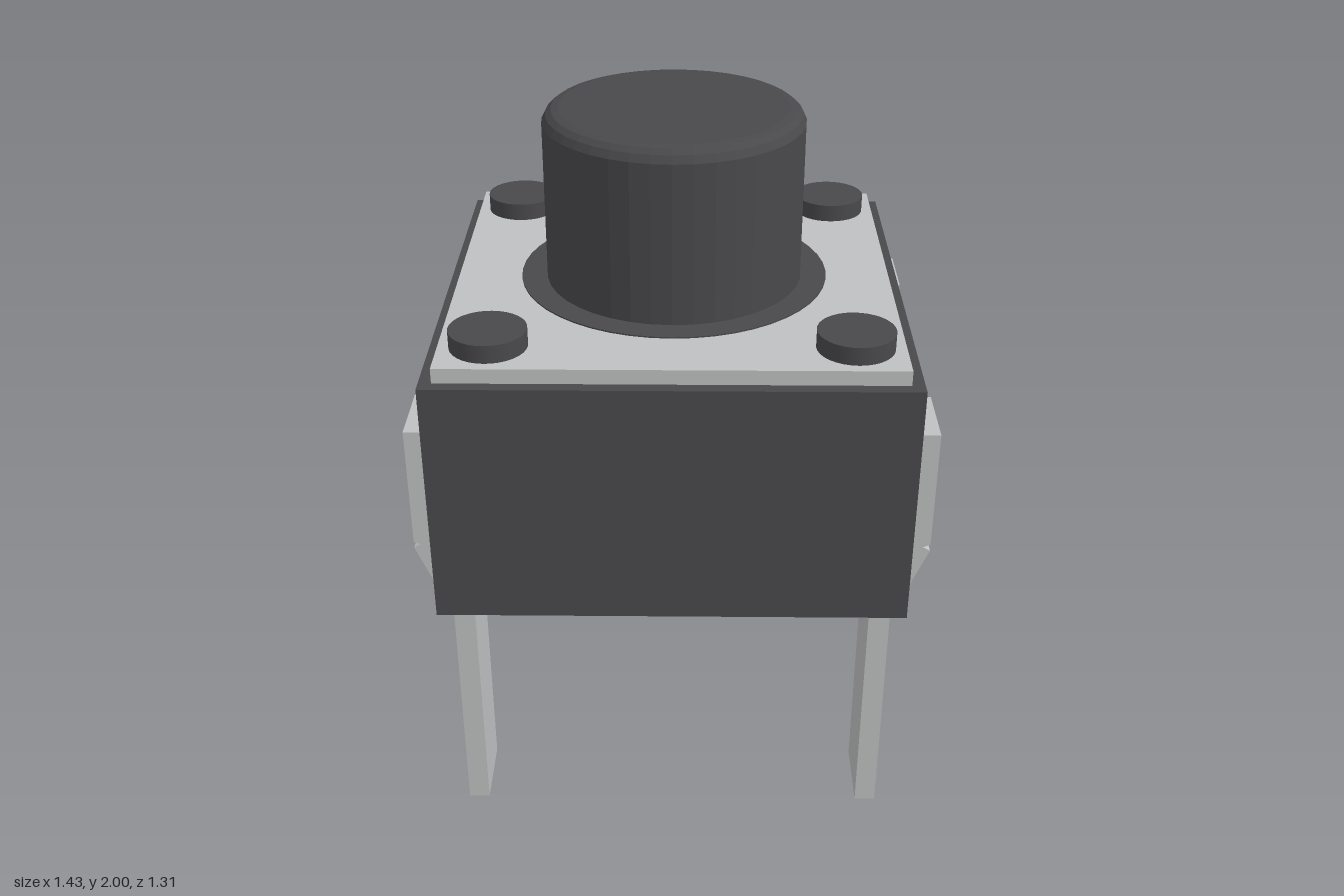
import * as THREE from 'three';

export function createModel() {
  const plastic = new THREE.MeshStandardMaterial({ color: 0x49494c });
  plastic.name = 'dark plastic';
  const metal = new THREE.MeshStandardMaterial({ color: 0xbfc0c1 });
  metal.name = 'silver metal';

  const model = new THREE.Group();
  model.name = 'pushButtonSwitch';
  const add = (name, geometry, material, x = 0, y = 0, z = 0) => {
    const mesh = new THREE.Mesh(geometry, material);
    mesh.name = name;
    mesh.position.set(x, y, z);
    model.add(mesh);
    return mesh;
  };
  const faceted = (geometry) => {
    const flat = geometry.toNonIndexed();
    flat.computeVertexNormals();
    return flat;
  };

  // Housing and metal cover
  add('housing', new THREE.BoxGeometry(1.31, 0.715, 1.31), plastic, 0, 1.1025, 0);
  add('coverPlate', new THREE.BoxGeometry(1.24, 0.042, 1.24), metal, 0, 1.481, 0);

  // Collar around the plunger
  add('collar', new THREE.CylinderGeometry(0.44, 0.44, 0.02, 48), plastic, 0, 1.496, 0);

  // Plunger with a rounded top edge
  const profile = [[0, 1.5], [0.367, 1.5], [0.367, 1.962], [0.356, 1.983], [0.34, 1.996], [0.32, 2], [0, 2]]
    .map(([x, y]) => new THREE.Vector2(x, y));
  add('plunger', faceted(new THREE.LatheGeometry(profile, 40)), plastic);

  // Bent terminal seen from the front, extruded along z
  const outline = [
    [0.645, 1.29], [0.715, 1.29], [0.715, 0.94], [0.695, 0.932], [0.715, 0.92],
    [0.627, 0.708], [0.612, 0.703], [0.62, 0.695], [0.62, 0], [0.56, 0],
    [0.56, 0.695], [0.572, 0.703], [0.563, 0.718], [0.645, 0.93],
  ].map(([x, y]) => new THREE.Vector2(x, y));
  const terminal = new THREE.ExtrudeGeometry(new THREE.Shape(outline), { depth: 0.21, bevelEnabled: false });
  terminal.translate(0, 0, -0.105);

  // Rivets and terminals at the four corners
  const rivet = new THREE.CylinderGeometry(0.105, 0.105, 0.055, 32);
  for (const sx of [1, -1]) {
    for (const sz of [1, -1]) {
      const corner = (sz > 0 ? 'front' : 'back') + (sx > 0 ? 'Left' : 'Right');
      add(corner + 'Rivet', rivet, plastic, sx * 0.485, 1.5255, sz * 0.485);
      const leg = add(corner + 'Terminal', terminal, metal, 0, 0, sz * 0.475);
      if (sx < 0) leg.rotation.y = Math.PI;
    }
  }
  return model;
}
